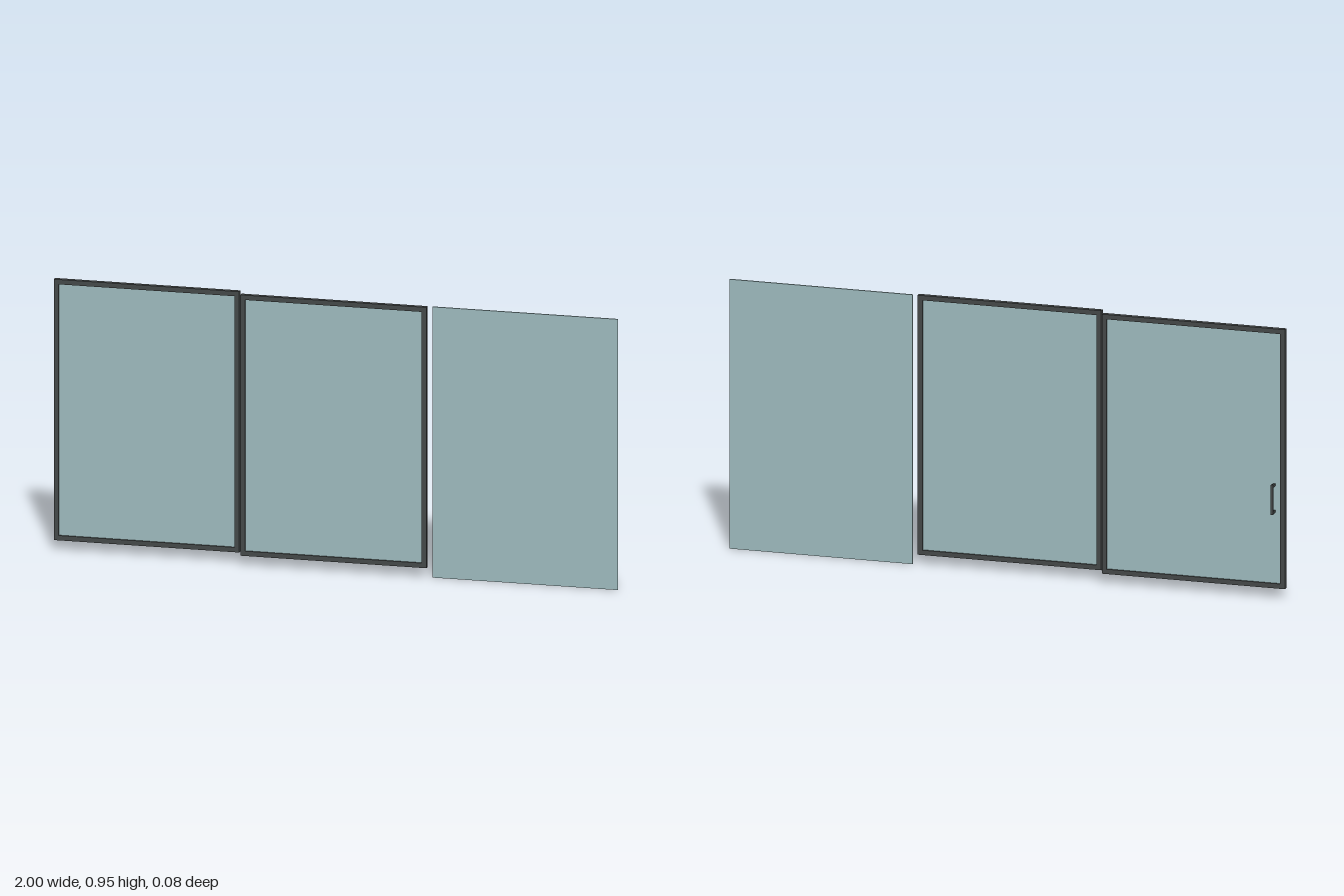
import * as THREE from 'three';

export function createModel() {
  const model = new THREE.Group();
  model.name = 'slidingPanels';
  const frameMat = new THREE.MeshStandardMaterial({ name: 'charcoal frame', color: 0x434747 });
  const glassMat = new THREE.MeshStandardMaterial({ name: 'tinted glass', color: 0x9cb9bc });

  function box(name, parent, mat, x0, x1, y0, y1, z0, z1) {
    const mesh = new THREE.Mesh(new THREE.BoxGeometry(x1 - x0, y1 - y0, z1 - z0), mat);
    mesh.position.set((x0 + x1) / 2, (y0 + y1) / 2, (z0 + z1) / 2);
    mesh.name = name;
    parent.add(mesh);
  }

  const top = 0.955, bottom = 0.035, rail = 0.017, depth = 0.018;

  // Framed sliding panel: one extruded frame with a pane set inside
  function framedPanel(name, x0, x1, z0) {
    const panel = new THREE.Group();
    panel.name = name;
    const shape = new THREE.Shape([
      new THREE.Vector2(x0, bottom), new THREE.Vector2(x1, bottom),
      new THREE.Vector2(x1, top), new THREE.Vector2(x0, top),
    ]);
    shape.holes.push(new THREE.Path([
      new THREE.Vector2(x0 + rail, bottom + rail), new THREE.Vector2(x0 + rail, top - rail),
      new THREE.Vector2(x1 - rail, top - rail), new THREE.Vector2(x1 - rail, bottom + rail),
    ]));
    const frame = new THREE.Mesh(
      new THREE.ExtrudeGeometry(shape, { depth, bevelEnabled: false }), frameMat);
    frame.position.z = z0;
    frame.name = 'frame';
    panel.add(frame);
    box('pane', panel, glassMat, x0 + rail, x1 - rail, bottom + rail, top - rail,
      z0 + 0.006, z0 + 0.012);
    model.add(panel);
    return panel;
  }

  const door = framedPanel('doorPanel', -1, -0.345, -0.018);
  framedPanel('middlePanel', -0.33, 0.327, 0.022);

  // Frameless fixed pane
  box('fixedPane', model, glassMat, 0.345, 1, 0, top, 0.021, 0.027);

  // Pull handle on the back of the door
  const handle = new THREE.Group();
  handle.name = 'handle';
  box('grip', handle, frameMat, -0.964, -0.956, 0.301, 0.407, -0.04, -0.033);
  for (const y of [0.307, 0.401]) {
    box('handleArm', handle, frameMat, -0.964, -0.956, y - 0.004, y + 0.004, -0.033, -0.012);
  }
  door.add(handle);

  return model;
}
